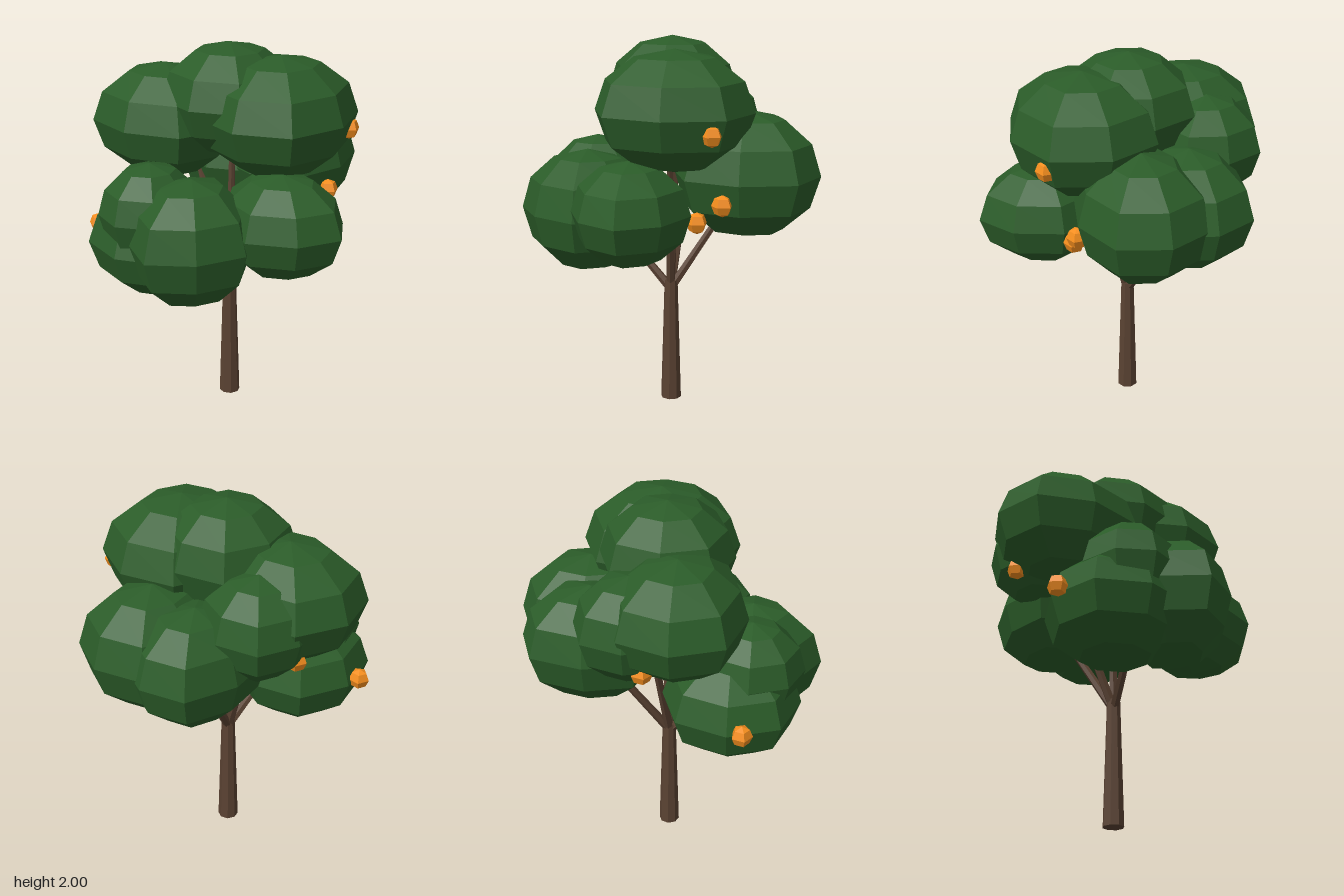
import * as THREE from 'three';

const paint = (color) => new THREE.MeshStandardMaterial({ color, flatShading: true });

// Faceted ball whose diagonal corners are pushed out (or in) by the given amount
function clusterGeometry(radii, corner) {
  const geometry = new THREE.SphereGeometry(1, 8, 6);
  const p = geometry.attributes.position;
  for (let i = 0; i < p.count; i++) {
    const s = 1 + corner * Math.sin(2 * Math.atan2(p.getZ(i), p.getX(i))) ** 2;
    p.setXYZ(i, p.getX(i) * s, p.getY(i), p.getZ(i) * s);
  }
  return geometry.scale(...radii);
}

export function createModel() {
  const tree = new THREE.Group();
  const bark = paint(0x5a4232), leaf = paint(0x2b5c29), orange = paint(0xf58e1e);
  const up = new THREE.Vector3(0, 1, 0);

  const add = (name, geometry, material, position) => {
    const mesh = new THREE.Mesh(geometry, material);
    mesh.name = name;
    mesh.position.set(...position);
    tree.add(mesh);
    return mesh;
  };

  // Tapered trunk
  add('trunk', new THREE.CylinderGeometry(0.036, 0.056, 0.68, 8), bark, [0.002, 0.34, -0.02]);

  // Branches fan out from the trunk top into the foliage
  const fork = new THREE.Vector3(0, 0.63, -0.02);
  const tips = [
    [0.35, 1.18, -0.16], [-0.3, 0.95, -0.08], [0.04, 1.42, 0.2],
    [0.06, 1.3, -0.27], [0.03, 1.5, -0.02],
  ];
  tips.forEach((tip) => {
    const end = new THREE.Vector3(...tip);
    const dir = end.clone().sub(fork);
    const middle = end.clone().add(fork).multiplyScalar(0.5);
    const branch = add('branch', new THREE.CylinderGeometry(0.017, 0.025, dir.length(), 6), bark, middle.toArray());
    branch.quaternion.setFromUnitVectors(up, dir.normalize());
  });

  // Faceted leaf clusters: centre, radii, corner push
  const clusters = [
    [[0.01, 1.71, -0.02], [0.345, 0.29, 0.34], 0.05],    // crown
    [[0.07, 1.645, 0.25], [0.41, 0.31, 0.375], 0.05],    // upper front
    [[-0.08, 1.56, -0.37], [0.345, 0.3, 0.39], 0.06],    // upper back
    [[0.15, 1.5, -0.39], [0.28, 0.27, 0.28], 0.06],      // upper back, left side
    [[0.42, 1.305, 0.08], [0.38, 0.33, 0.33], 0.06],     // left side
    [[0.38, 1.29, -0.19], [0.36, 0.31, 0.3], 0.08],      // left back
    [[-0.125, 1.145, 0.4], [0.31, 0.27, 0.355], -0.06],  // lower front
    [[-0.43, 1.075, 0.07], [0.37, 0.33, 0.335], -0.1],   // right side
    [[-0.345, 1.0, -0.21], [0.36, 0.29, 0.36], 0.04],    // lower back, right side
    [[-0.44, 1.18, -0.19], [0.275, 0.26, 0.26], 0],      // right back
  ];
  clusters.forEach(([centre, radii, corner]) => {
    add('leafCluster', clusterGeometry(radii, corner), leaf, centre);
  });

  // Small round fruit
  const fruits = [
    [0.303, 1.57, 0.52], [0.337, 1.2, 0.385], [0.205, 1.1, 0.355],
    [0.07, 1.345, -0.575], [-0.42, 1.02, -0.575],
  ];
  fruits.forEach((p) => add('fruit', new THREE.SphereGeometry(0.056, 5, 4), orange, p));

  return tree;
}
